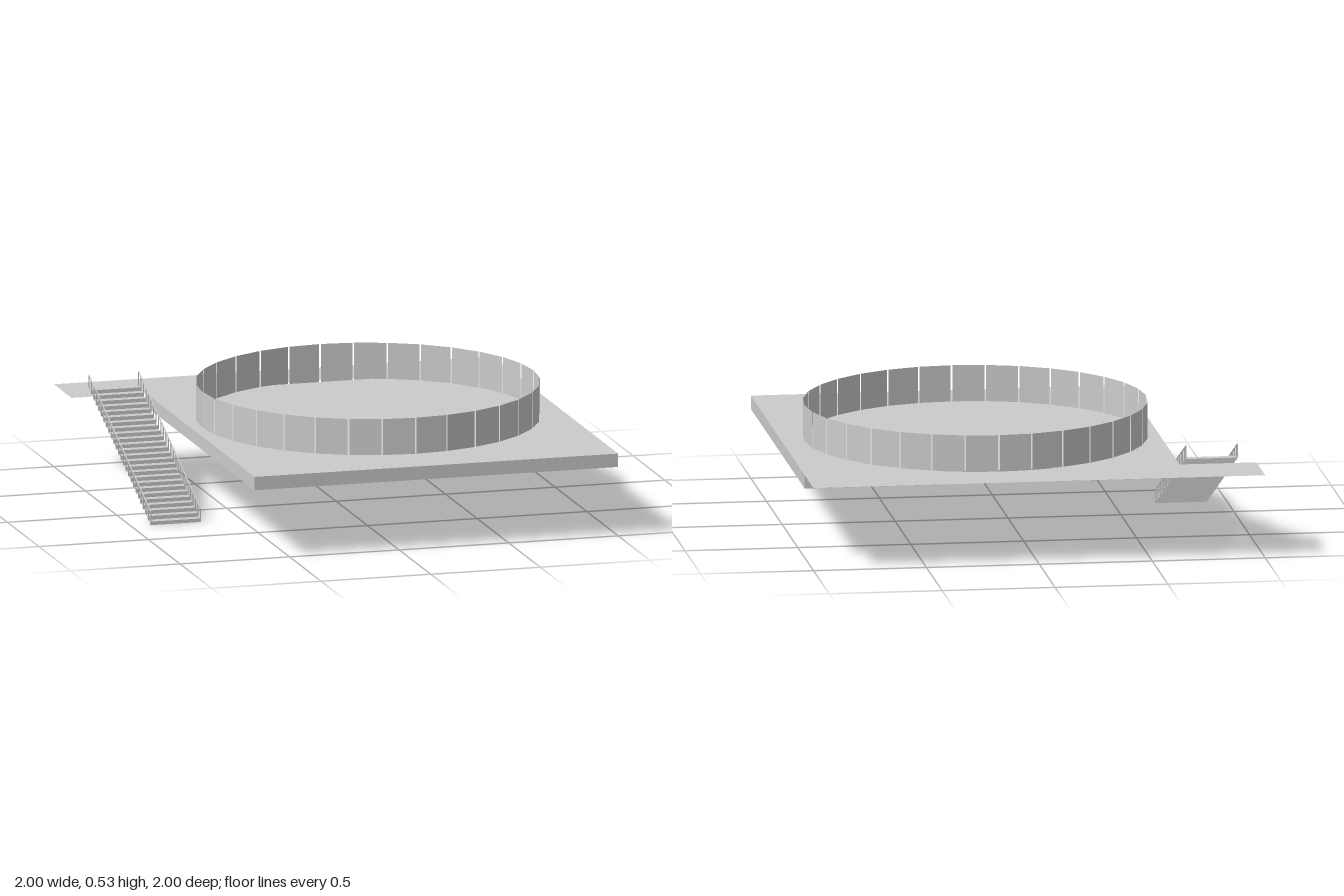
import * as THREE from 'three';

const grey = new THREE.MeshStandardMaterial({ color: 0xcccccc, flatShading: true, side: THREE.DoubleSide });

export function createModel() {
  const model = new THREE.Group();
  const add = (name, geometry, parent = model) => {
    const mesh = new THREE.Mesh(geometry, grey);
    mesh.name = name;
    parent.add(mesh);
    return mesh;
  };
  const group = (name) => {
    const g = new THREE.Group();
    g.name = name;
    model.add(g);
    return g;
  };

  // Circle cut through the deck, crossing its back edge
  const cx = 0.145, r = 0.76, back = 0.72, bottom = 0.31, top = 0.37;
  const a = Math.asin(back / r), half = r * Math.cos(a);

  // Deck slab, open to the back where the circle crosses its edge (shape y is -z)
  const deck = new THREE.Shape();
  deck.moveTo(-0.66, -1);
  deck.lineTo(1, -1);
  deck.lineTo(1, back);
  deck.lineTo(cx + half, back);
  deck.absarc(cx, 0, r, a, Math.PI - a, true);
  deck.lineTo(-0.66, back);
  deck.closePath();
  add('deck', new THREE.ExtrudeGeometry(deck, { depth: top - bottom, bevelEnabled: false, curveSegments: 32 })
    .rotateX(-Math.PI / 2).translate(0, bottom, 0));

  // Thin floor inside the circle, cut straight at the back
  const floor = new THREE.Shape();
  floor.absarc(cx, 0, r, a, Math.PI - a, true);
  floor.closePath();
  add('arenaFloor', new THREE.ShapeGeometry(floor, 32).rotateX(-Math.PI / 2).translate(0, top, 0));

  // Thin walkway along the back with a curved bite
  const walk = new THREE.Shape();
  walk.moveTo(-1, 1);
  walk.lineTo(-1, back);
  walk.lineTo(cx - half, back);
  walk.absarc(cx, 0, r, Math.PI - a, a, true);
  walk.lineTo(1, back);
  walk.lineTo(1, 1);
  walk.closePath();
  add('backWalkway', new THREE.ShapeGeometry(walk, 16).rotateX(-Math.PI / 2).translate(0, top, 0));

  // Ring of flat fence panels with narrow gaps
  const fence = group('fence');
  const count = 32, ringR = 0.757, low = 0.36, high = 0.532;
  const width = 2 * ringR * Math.sin(Math.PI / count) - 0.007;
  for (let i = 0; i < count; i++) {
    const angle = (i + 0.5) * 2 * Math.PI / count, d = ringR * Math.cos(Math.PI / count);
    const panel = add('fencePanel', new THREE.PlaneGeometry(width, high - low), fence);
    panel.position.set(cx + d * Math.sin(angle), (low + high) / 2, d * Math.cos(angle));
    panel.rotation.y = angle;
  }

  // Staircase of thin treads and risers
  const stairs = group('stairs');
  const steps = 25, z0 = 0.23, run = 0.98 / steps, rise = 0.4 / steps;
  const left = -0.685, right = -0.912, mid = (left + right) / 2, wide = left - right, thin = 0.003;
  for (let i = 0; i < steps; i++) {
    const z = z0 - i * run, y = i * rise;
    add('riser', new THREE.BoxGeometry(wide, rise, thin), stairs).position.set(mid, y + rise / 2, z - thin / 2);
    add('tread', new THREE.BoxGeometry(wide, thin, run), stairs).position.set(mid, y + rise - thin / 2, z - run / 2);
  }

  // Handrails on both sides, with one post per step
  const railing = group('railing');
  const railH = 0.062, t = 0.004, length = Math.hypot(0.98, 0.4);
  for (const x of [left, right]) {
    for (let i = 0; i <= steps; i++) {
      add('railPost', new THREE.BoxGeometry(t, railH, t), railing)
        .position.set(x, i * rise + railH / 2, z0 - i * run);
    }
    const rail = add('handrail', new THREE.BoxGeometry(t, t, length), railing);
    rail.position.set(x, 0.2 + railH, z0 - 0.49);
    rail.rotation.x = Math.atan2(0.4, 0.98);
  }
  return model;
}
